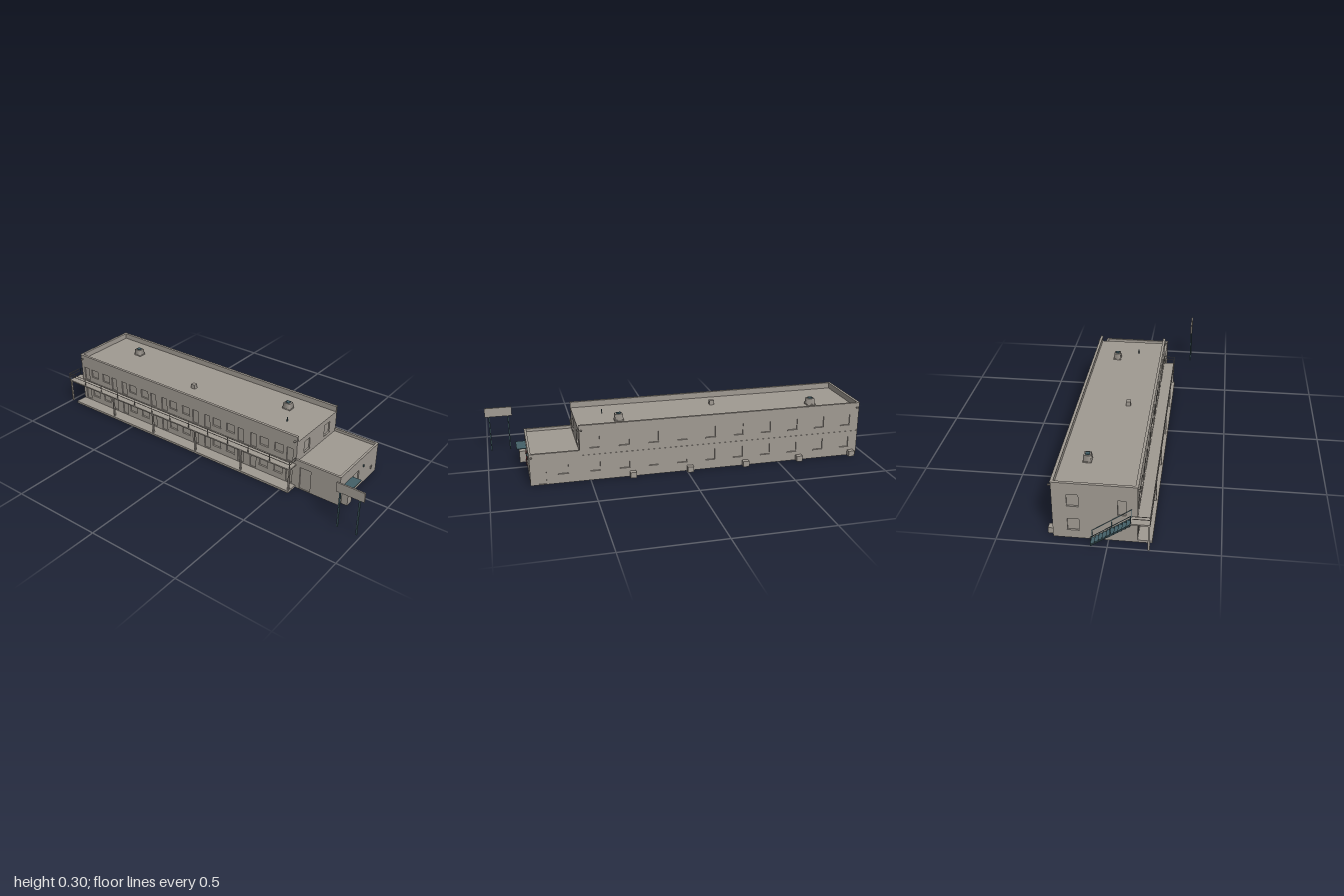
import * as THREE from 'three';

const mat = (name, color, double) => {
  const m = new THREE.MeshStandardMaterial({ color });
  m.name = name;
  if (double) m.side = THREE.DoubleSide;
  return m;
};

export function createModel() {
  const root = new THREE.Group();
  root.name = 'motel';
  const grey = mat('warm grey', 0xa09a92, true);
  const teal = mat('dark teal', 0x446068);
  const red = mat('door red', 0x8f4545);

  // Box given by its min and max on each axis
  const box = (name, m, x0, x1, y0, y1, z0, z1, parent = root) => {
    const b = new THREE.Mesh(new THREE.BoxGeometry(x1 - x0, y1 - y0, z1 - z0), m);
    b.position.set((x0 + x1) / 2, (y0 + y1) / 2, (z0 + z1) / 2);
    b.name = name;
    parent.add(b);
    return b;
  };

  // Square bar between two points
  const bar = (name, m, a, b, t) => {
    const p = new THREE.Vector3(...a), q = new THREE.Vector3(...b);
    const s = new THREE.Mesh(new THREE.BoxGeometry(t, t, p.distanceTo(q)), m);
    s.position.copy(p).add(q).multiplyScalar(0.5);
    s.lookAt(q);
    s.name = name;
    root.add(s);
  };

  // Wall facing local +z, with recessed openings [u centre, bottom, width, height, sill]
  const T = 0.008;
  const wall = (name, u0, u1, y0, y1, openings, turn, x, z) => {
    const g = new THREE.Group();
    g.name = name;
    const shape = new THREE.Shape([[u0, y0], [u1, y0], [u1, y1], [u0, y1]].map(p => new THREE.Vector2(...p)));
    for (const [u, y, w, h, sill] of openings) {
      const a = u - w / 2, b = u + w / 2;
      shape.holes.push(new THREE.Path([[a, y], [a, y + h], [b, y + h], [b, y]].map(p => new THREE.Vector2(...p))));
      const pane = new THREE.Mesh(new THREE.PlaneGeometry(w, h), grey);
      pane.position.set(u, y + h / 2, -0.006);
      pane.name = sill ? 'windowPane' : 'doorLeaf';
      g.add(pane);
      if (sill) box('windowSill', grey, a - 0.002, b + 0.002, y - 0.004, y, -0.004, 0.003, g);
    }
    const geo = new THREE.ExtrudeGeometry(shape, { depth: T, bevelEnabled: false });
    geo.translate(0, 0, -T);
    const w = new THREE.Mesh(geo, grey);
    w.name = name + 'Surface';
    g.add(w);
    g.position.set(x, 0, z);
    g.rotation.y = turn;
    root.add(g);
  };

  const L = -0.95, M = 0.55, R = 0.8, F = 0.13, B = -0.25;
  const H = 0.293, LH = 0.163;

  // Room doors and windows on the two front floors
  const front = [], back = [];
  for (let i = 0; i < 5; i++) {
    const b = L + 0.3 * i;
    for (const y of [0.016, 0.141]) {
      for (const d of [0.04, 0.26]) front.push([b + d, y, 0.036, 0.078, false]);
      for (const d of [0.105, 0.195]) front.push([b + d, y + 0.032, 0.05, 0.046, true]);
    }
    for (const y of [0.05, 0.175])
      for (const d of [0.075, 0.225]) back.push([-(b + d), y, 0.05, 0.058, true]);
  }
  const ends = [[-0.035, 0.175, 0.052, 0.06, true], [0.157, 0.175, 0.052, 0.06, true]];
  wall('frontWall', L, M, 0, H, front, 0, 0, F);
  wall('backWall', -M, -L, 0, H, back, Math.PI, 0, B);
  wall('rightEndWall', -F, -B, 0.15, 0.265, ends, Math.PI / 2, M, 0);
  wall('leftEndWall', B, F, 0, H, [[-0.157, 0.175, 0.052, 0.06, true], [-0.157, 0.045, 0.052, 0.06, true],
    [0.06, 0.141, 0.036, 0.078, false]], -Math.PI / 2, L, 0);
  box('mainRoof', grey, L + T, M, 0.261, 0.265, B + T, F - T);

  // Coping on the three parapets; the right end is open
  box('frontCoping', grey, L - 0.002, M + 0.001, H, 0.297, F - 0.011, F + 0.003);
  box('backCoping', grey, L - 0.002, M + 0.001, H, 0.297, B - 0.003, B + 0.011);
  box('leftCoping', grey, L - 0.003, L + 0.011, H, 0.297, B, F);
  box('backBelt', grey, L, M, 0.135, 0.139, B - 0.002, B);

  // Office wing
  wall('officeFrontWall', M, R, 0, LH, [[0.605, 0.003, 0.062, 0.125, false]], 0, 0, F);
  wall('officeBackWall', -R, -M, 0, LH, [[-0.74, 0.003, 0.04, 0.08, false], [-0.635, 0.05, 0.05, 0.055, true]], Math.PI, 0, B);
  wall('officeRightWall', -F, -B, 0, LH, [[0.035, 0.04, 0.052, 0.062, true]], Math.PI / 2, R, 0);
  box('officeRoof', grey, M, R - T, 0.146, 0.15, B + T, F - T);
  box('officeFrontCoping', grey, M, R + 0.002, LH, 0.166, F - 0.01, F + 0.002);
  box('officeBackCoping', grey, M, R + 0.002, LH, 0.166, B - 0.002, B + 0.01);
  box('officeRightCoping', grey, R - 0.01, R + 0.002, LH, 0.166, B, F);
  box('officeDoor', red, R, R + 0.003, 0, 0.075, 0.017, 0.057);
  box('officeCanopy', teal, R, 0.85, 0.0985, 0.102, 0.006, 0.118);
  box('vendingCabinet', grey, R + 0.002, 0.835, 0, 0.063, 0.066, 0.107);
  box('meterPanel', grey, R, R + 0.004, 0.042, 0.06, -0.198, -0.184);
  box('wallLamp', teal, R, R + 0.006, 0.101, 0.114, -0.104, -0.1);

  // Ground walkway, balcony and their posts
  box('walkway', grey, L, M, 0, 0.012, F, 0.195);
  box('balconySlab', grey, -1, M, 0.131, 0.138, F, 0.19);
  box('stairLanding', grey, -1, L, 0.131, 0.138, 0.1, F);
  for (const x of [-0.995, -0.65, -0.35, -0.05, 0.25, 0.545])
    box('balconyPost', grey, x - 0.004, x + 0.004, x < -0.9 ? 0 : 0.012, 0.131, 0.179, 0.188);

  // Railing
  for (const y of [0.165, 0.179]) {
    bar('frontRail', grey, [-1, y, 0.189], [M, y, 0.189], 0.0025);
    bar('rightRail', grey, [M - 0.001, y, F], [M - 0.001, y, 0.189], 0.0025);
    bar('leftRail', grey, [-0.999, y, 0.11], [-0.999, y, 0.189], 0.0025);
  }
  for (let i = -1; i < 12; i++) {
    const x = Math.min(-0.87 + 0.13 * i, M - 0.002);
    box('railPost', grey, x - 0.0015, x + 0.0015, 0.138, 0.18, 0.1875, 0.1905);
  }

  // Outside stair down the left end
  const N = 10;
  for (let i = 0; i < N; i++) {
    const y = 0.131 * (1 - (i + 1) / (N + 1)), z = 0.1 - 0.0175 * i;
    box('stairTread', teal, -0.997, -0.953, y - 0.002, y + 0.002, z - 0.018, z);
  }
  for (const x of [-0.998, -0.952]) {
    bar('stairStringer', teal, [x, 0.131, 0.105], [x, 0.003, -0.075], 0.005);
    bar('stairRail', teal, [x, 0.179, 0.105], [x, 0.048, -0.075], 0.0025);
    for (const [y, z] of [[0.003, -0.074], [0.066, 0.014], [0.131, 0.104]])
      box('stairRailPost', teal, x - 0.0015, x + 0.0015, y, y + 0.048, z - 0.0015, z + 0.0015);
  }

  // Air conditioners along the back
  for (let i = 0; i < 5; i++) {
    const x = -0.915 + 0.3 * i;
    box('airConditioner', grey, x - 0.016, x + 0.016, 0, 0.03, -0.277, B);
  }

  // Roof vents with flared base and cap
  for (const x of [-0.72, 0.33]) {
    box('ventBase', grey, x - 0.024, x + 0.024, 0.265, 0.27, -0.145, -0.104);
    const v = new THREE.Mesh(new THREE.CylinderGeometry(0.0235, 0.027, 0.03, 4, 1).rotateY(Math.PI / 4), grey);
    v.position.set(x, 0.285, -0.124);
    v.scale.x = 1.15;
    v.name = 'roofVent';
    root.add(v);
    box('ventCap', teal, x - 0.011, x + 0.011, 0.3, 0.304, -0.134, -0.113);
  }
  box('roofHatch', grey, -0.212, -0.188, 0.265, 0.289, -0.01, 0.013);
  box('roofPipe', teal, 0.398, 0.402, 0.265, 0.289, -0.011, -0.007);

  // Roof drain spouts
  for (const x of [-0.935, 0.54]) {
    box('backSpout', grey, x - 0.004, x + 0.004, 0.268, 0.273, -0.266, B);
    box('frontSpout', grey, x - 0.004, x + 0.004, 0.268, 0.273, F, 0.146);
  }
  box('officeSpout', grey, 0.786, 0.794, 0.147, 0.152, -0.266, B);

  // Roadside sign on two posts
  box('signBoard', grey, 0.855, 1, 0.197, 0.247, 0.27, 0.278);
  for (const x of [0.876, 0.977])
    box('signPost', teal, x - 0.0035, x + 0.0035, 0, 0.197, 0.2705, 0.2775);

  return root;
}
